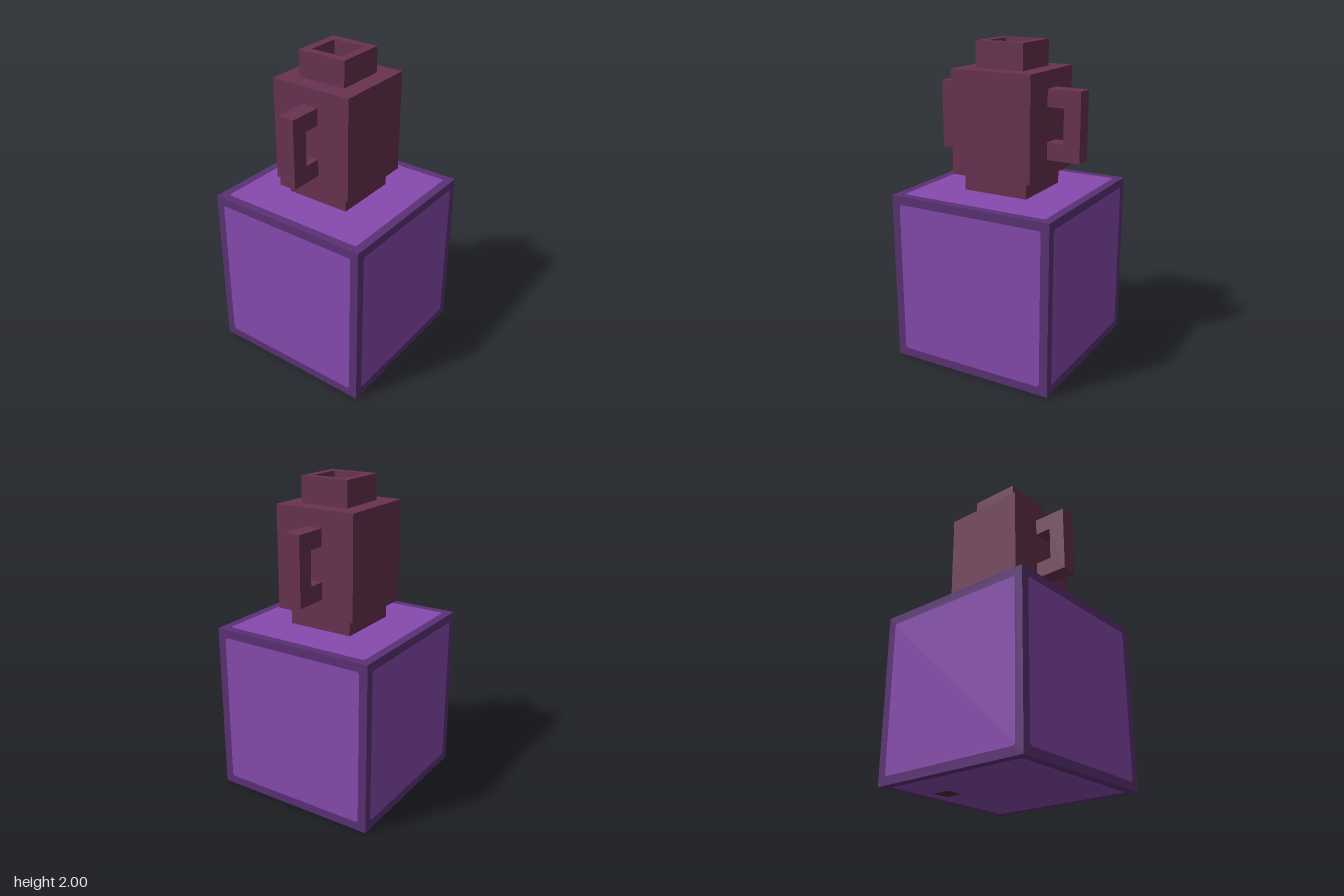
import * as THREE from 'three';

const material = (name, color) => {
  const m = new THREE.MeshStandardMaterial({ color });
  m.name = name;
  return m;
};

// Polygon from a list of [x, y] corners
const polygon = (pts) => new THREE.Shape(pts.map(([x, y]) => new THREE.Vector2(x, y)));
const square = (h) => polygon([[-h, -h], [h, -h], [h, h], [-h, h]]);
// Square with its corners cut off, centred on x, y
const cutSquare = (h, cut, x = 0, y = 0) => {
  const c = h - cut;
  return polygon([[-c, -h], [c, -h], [h, -c], [h, c], [c, h], [-c, h], [-h, c], [-h, -c]]
    .map(([px, py]) => [px + x, py + y]));
};
const withHole = (outer, hole) => {
  outer.holes.push(hole);
  return outer;
};

export function createModel() {
  const model = new THREE.Group();
  model.name = 'urnOnPedestal';
  const frameMat = material('dark purple', 0x5b3275);
  const panelMat = material('purple', 0x874bae);
  const urnMat = material('maroon', 0x693251);
  const darkMat = material('dark brown', 0x4a2937);

  const U = 2 / 37; // grid unit shared by all parts
  const H = 10 * U; // half of the pedestal cube

  const add = (parent, name, geometry, mat, x = 0, y = 0, z = 0) => {
    const mesh = new THREE.Mesh(geometry, mat);
    mesh.name = name;
    mesh.position.set(x, y, z);
    parent.add(mesh);
    return mesh;
  };
  // Square block between two heights, in grid units
  const block = (parent, name, half, y0, y1) =>
    add(parent, name, new THREE.BoxGeometry(2 * half * U, (y1 - y0) * U, 2 * half * U),
      urnMat, 0, (y0 + y1) * U / 2, 0);

  // Pedestal cube: each face is a border with a flush panel in it
  const pedestal = new THREE.Group();
  pedestal.name = 'pedestal';
  pedestal.position.y = H;
  model.add(pedestal);

  const panelShape = () => cutSquare(9 * U, 0.012);
  const markShape = () => cutSquare(1.1 * U, 0.015, -3 * U, -6.5 * U);
  const borderGeo = new THREE.ShapeGeometry(withHole(square(H), panelShape()));
  const panelGeo = new THREE.ShapeGeometry(panelShape());
  const bottomGeo = new THREE.ShapeGeometry(withHole(panelShape(), markShape()));
  const faces = {
    front: [0, 0], left: [0, Math.PI / 2], back: [0, Math.PI], right: [0, -Math.PI / 2],
    top: [-Math.PI / 2, 0], bottom: [Math.PI / 2, 0],
  };
  for (const [side, [rx, ry]] of Object.entries(faces)) {
    const face = new THREE.Group();
    face.name = side + 'Face';
    face.rotation.set(rx, ry, 0);
    face.translateZ(H);
    pedestal.add(face);
    add(face, side + 'Border', borderGeo, frameMat);
    add(face, side + 'Panel', side === 'bottom' ? bottomGeo : panelGeo, panelMat);
    // Small dark mark on the underside
    if (side === 'bottom') add(face, 'undersideMark', new THREE.ShapeGeometry(markShape()), darkMat);
  }

  // Urn: foot, body, hollow neck
  const urn = new THREE.Group();
  urn.name = 'urn';
  model.add(urn);
  block(urn, 'foot', 4, 20, 22);
  block(urn, 'body', 5, 22, 34);

  const neckGeo = new THREE.ExtrudeGeometry(withHole(square(3 * U), square(2 * U)),
    { depth: 3 * U, bevelEnabled: false });
  neckGeo.rotateX(-Math.PI / 2);
  add(urn, 'neck', neckGeo, urnMat, 0, 34 * U, 0);
  const floor = add(urn, 'neckFloor', new THREE.PlaneGeometry(4 * U, 4 * U), darkMat, 0, 35 * U, 0);
  floor.rotation.x = -Math.PI / 2;

  // Bracket handles at front and back
  const bracket = polygon([[5, 24], [9, 24], [9, 32], [5, 32], [5, 30], [7, 30], [7, 26], [5, 26]]
    .map(([x, y]) => [x * U, y * U]));
  const handleGeo = new THREE.ExtrudeGeometry(bracket, { depth: 2 * U, bevelEnabled: false });
  handleGeo.translate(0, 0, -U);
  for (const [name, turn] of [['frontHandle', -Math.PI / 2], ['backHandle', Math.PI / 2]]) {
    add(urn, name, handleGeo, urnMat).rotation.y = turn;
  }
  return model;
}
